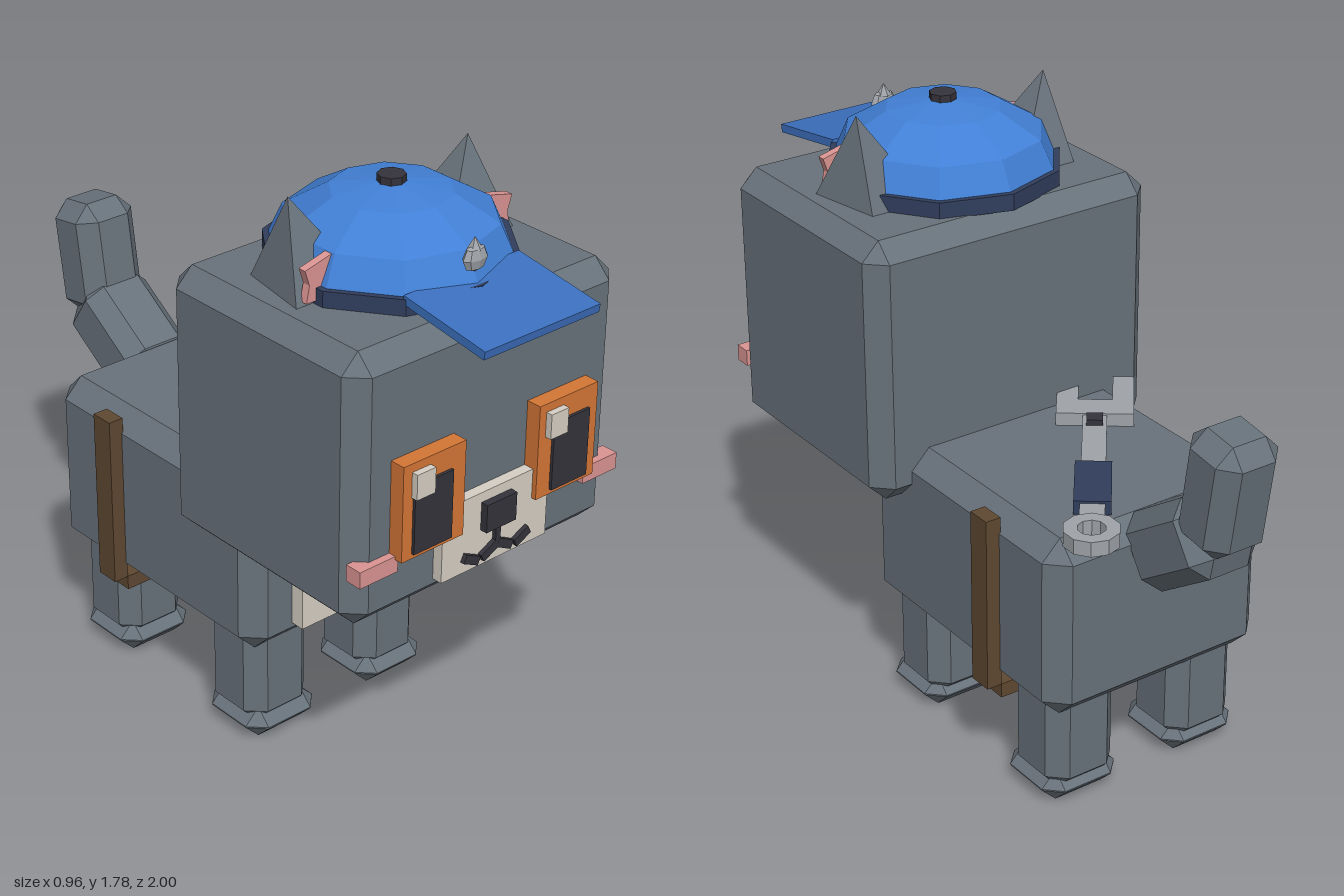
import * as THREE from 'three';
import { ConvexGeometry } from 'three/addons/geometries/ConvexGeometry.js';

const mat = (name, color) => {
  const m = new THREE.MeshStandardMaterial({ color });
  m.name = name;
  return m;
};

export function createModel() {
  const root = new THREE.Group();
  root.name = 'cat';
  const fur = mat('grey fur', 0x68727b), cream = mat('cream', 0xd6cfc4), orange = mat('orange', 0xd47636),
    dark = mat('charcoal', 0x35333b), pink = mat('pink', 0xdb9593), brown = mat('brown leather', 0x5f4831),
    blue = mat('cap blue', 0x4280d6), billBlue = mat('bill blue', 0x3c70bf),
    navy = mat('navy', 0x303d5c), steel = mat('steel', 0x9fa3a8);

  // Flat-shaded copy of a geometry
  const facet = (g) => {
    const f = g.index ? g.toNonIndexed() : g;
    f.computeVertexNormals();
    return f;
  };
  const add = (name, geo, material, x = 0, y = 0, z = 0, parent = root) => {
    const m = new THREE.Mesh(geo, material);
    m.name = name;
    m.position.set(x, y, z);
    parent.add(m);
    return m;
  };
  // Box given by its min and max on each axis
  const box = (name, material, x0, x1, y0, y1, z0, z1, parent = root) =>
    add(name, new THREE.BoxGeometry(x1 - x0, y1 - y0, z1 - z0), material,
      (x0 + x1) / 2, (y0 + y1) / 2, (z0 + z1) / 2, parent);
  // Box with chamfered edges and corners
  const chamferBox = (w, h, d, c) => {
    const pts = [];
    for (const i of [-0.5, 0.5]) for (const j of [-0.5, 0.5]) for (const k of [-0.5, 0.5]) {
      const p = new THREE.Vector3(i * w, j * h, k * d);
      const q = new THREE.Vector3(Math.sign(i) * (w / 2 - c), Math.sign(j) * (h / 2 - c), Math.sign(k) * (d / 2 - c));
      pts.push(new THREE.Vector3(p.x, q.y, q.z), new THREE.Vector3(q.x, p.y, q.z), new THREE.Vector3(q.x, q.y, p.z));
    }
    return new ConvexGeometry(pts);
  };
  const plate = (pts, depth) =>
    new THREE.ExtrudeGeometry(new THREE.Shape(pts.map(([x, y]) => new THREE.Vector2(x, y))), { depth, bevelEnabled: false });

  // Head and body
  add('head', chamferBox(0.96, 0.805, 0.765, 0.055), fur, 0, 1.1275, 0.4475);
  add('body', chamferBox(0.74, 0.56, 0.915, 0.06), fur, 0, 0.6, -0.1675);
  box('chestPatch', cream, -0.22, 0.22, 0.395, 0.8, 0.25, 0.335);
  box('bellyPatch', cream, -0.22, 0.22, 0.295, 0.34, -0.4, 0.2);

  // Legs and paws
  for (const s of [-1, 1]) for (const [name, lz, pz] of [['front', 0.135, 0.147], ['back', -0.46, -0.45]]) {
    add(name + 'Leg', chamferBox(0.23, 0.42, 0.23, 0.05), fur, s * 0.213, 0.25, lz);
    add(name + 'Paw', chamferBox(0.255, 0.1, 0.25, 0.048), fur, s * 0.213, 0.05, pz);
  }

  // Tail in two segments
  add('tailBase', chamferBox(0.23, 0.34, 0.23, 0.05), fur, 0, 0.855, -0.735).rotation.x = -0.977;
  add('tailTip', chamferBox(0.21, 0.36, 0.205, 0.05), fur, 0, 1.075, -0.88).rotation.x = -0.15;

  // Ears with pink inner plates, and cheeks
  for (const s of [-1, 1]) {
    const ear = [[0.32, 1.785, 0.385], [0.35, 1.51, 0.26], [0.395, 1.51, 0.51], [0.13, 1.51, 0.51], [0.15, 1.51, 0.26]];
    add('ear', new ConvexGeometry(ear.map(([x, y, z]) => new THREE.Vector3(s * x, y, z))), fur);
    const inner = [[0.37, 1.635], [0.27, 1.66], [0.22, 1.54], [0.365, 1.54], [0.355, 1.59]];
    add('innerEar', plate(inner.map(([x, y]) => [s * x, y]), 0.025), pink, 0, 0, 0.487);
    box('cheek', pink, ...(s < 0 ? [-0.477, -0.345] : [0.345, 0.477]), 0.89, 0.94, 0.8, 0.853);
  }

  // Eyes
  for (const s of [-1, 1]) {
    const cx = s * 0.245, px = s * 0.2525, hx = s < 0 ? -0.2925 : 0.1925;
    box('eye', orange, cx - 0.11, cx + 0.11, 0.93, 1.215, 0.82, 0.877);
    box('pupil', dark, px - 0.0675, px + 0.0675, 0.945, 1.15, 0.876, 0.886);
    box('eyeHighlight', cream, hx - 0.0325, hx + 0.0325, 1.115, 1.19, 0.876, 0.897);
  }

  // Muzzle, nose and mouth
  box('muzzle', cream, -0.195, 0.195, 0.795, 1.02, 0.82, 0.862);
  box('nose', dark, -0.055, 0.055, 0.905, 0.99, 0.86, 0.885);
  box('noseStem', dark, -0.009, 0.009, 0.84, 0.91, 0.86, 0.875);
  for (const s of [-1, 1]) for (const [x0, y0, x1, y1] of [[0, 0.85, 0.055, 0.822], [0.068, 0.82, 0.12, 0.845]]) {
    const bar = add('mouthStroke', new THREE.BoxGeometry(Math.hypot(x1 - x0, y1 - y0), 0.026, 0.015), dark,
      s * (x0 + x1) / 2, (y0 + y1) / 2, 0.868);
    bar.rotation.z = s * Math.atan2(y1 - y0, x1 - x0);
  }

  // Cap
  const cap = new THREE.Group();
  cap.name = 'cap';
  cap.position.set(0, 0, 0.43);
  root.add(cap);
  const dome = new THREE.SphereGeometry(0.34, 10, 3, 0, Math.PI * 2, 0, Math.PI / 2);
  dome.rotateY(Math.PI / 2).scale(1, 0.2 / 0.34, 1);
  add('capDome', facet(dome), blue, 0, 1.56, 0, cap);
  add('capBand', facet(new THREE.CylinderGeometry(0.35, 0.35, 0.05, 10)), navy, 0, 1.552, 0, cap);
  add('capButton', facet(new THREE.CylinderGeometry(0.04, 0.04, 0.025, 8)), dark, 0, 1.762, 0, cap);
  add('capBill', new THREE.BoxGeometry(0.412, 0.025, 0.3), billBlue, 0, 1.552, 0.42, cap).rotation.x = 0.15;
  const badge = new THREE.SphereGeometry(0.043, 8, 4);
  badge.scale(1, 0.9, 0.5);
  add('badge', facet(badge), steel, 0, 1.645, 0.318, cap);
  add('badgeTip', facet(new THREE.ConeGeometry(0.022, 0.035, 6)), steel, 0, 1.687, 0.315, cap);

  // Leather strap around the sides and belly
  box('strapLeft', brown, 0.365, 0.413, 0.33, 0.87, -0.367, -0.292);
  box('strapRight', brown, -0.413, -0.365, 0.33, 0.87, -0.367, -0.292);
  box('strapBottom', brown, -0.365, 0.365, 0.285, 0.33, -0.367, -0.292);

  // Wrench lying on the back, its length along local x
  const wrench = new THREE.Group();
  wrench.name = 'wrench';
  wrench.position.set(-0.127, 0, -0.137);
  wrench.rotation.y = 0.913;
  root.add(wrench);
  const jaw = [[-0.04, -0.113], [-0.04, 0.113], [-0.28, 0.113], [-0.28, 0.05], [-0.13, 0.05],
    [-0.13, -0.05], [-0.28, -0.05], [-0.28, -0.113]];
  add('wrenchJaw', plate(jaw, 0.045).rotateX(-Math.PI / 2), steel, 0, 0.875, 0, wrench);
  box('wrenchShaft', steel, -0.05, 0.555, 0.875, 0.915, -0.035, 0.035, wrench);
  box('wrenchGrip', navy, 0.248, 0.478, 0.875, 0.922, -0.052, 0.052, wrench);
  box('wrenchBolt', dark, -0.024, 0.024, 0.9, 0.932, -0.024, 0.024, wrench);
  const ring = new THREE.Shape().absarc(0, 0, 0.08, 0, Math.PI * 2);
  ring.holes.push(new THREE.Path().absarc(0, 0, 0.04, 0, Math.PI * 2, true));
  const ringGeo = new THREE.ExtrudeGeometry(ring, { depth: 0.045, bevelEnabled: false, curveSegments: 5 });
  add('wrenchRing', ringGeo.rotateX(-Math.PI / 2), steel, 0.616, 0.875, 0, wrench);

  return root;
}
